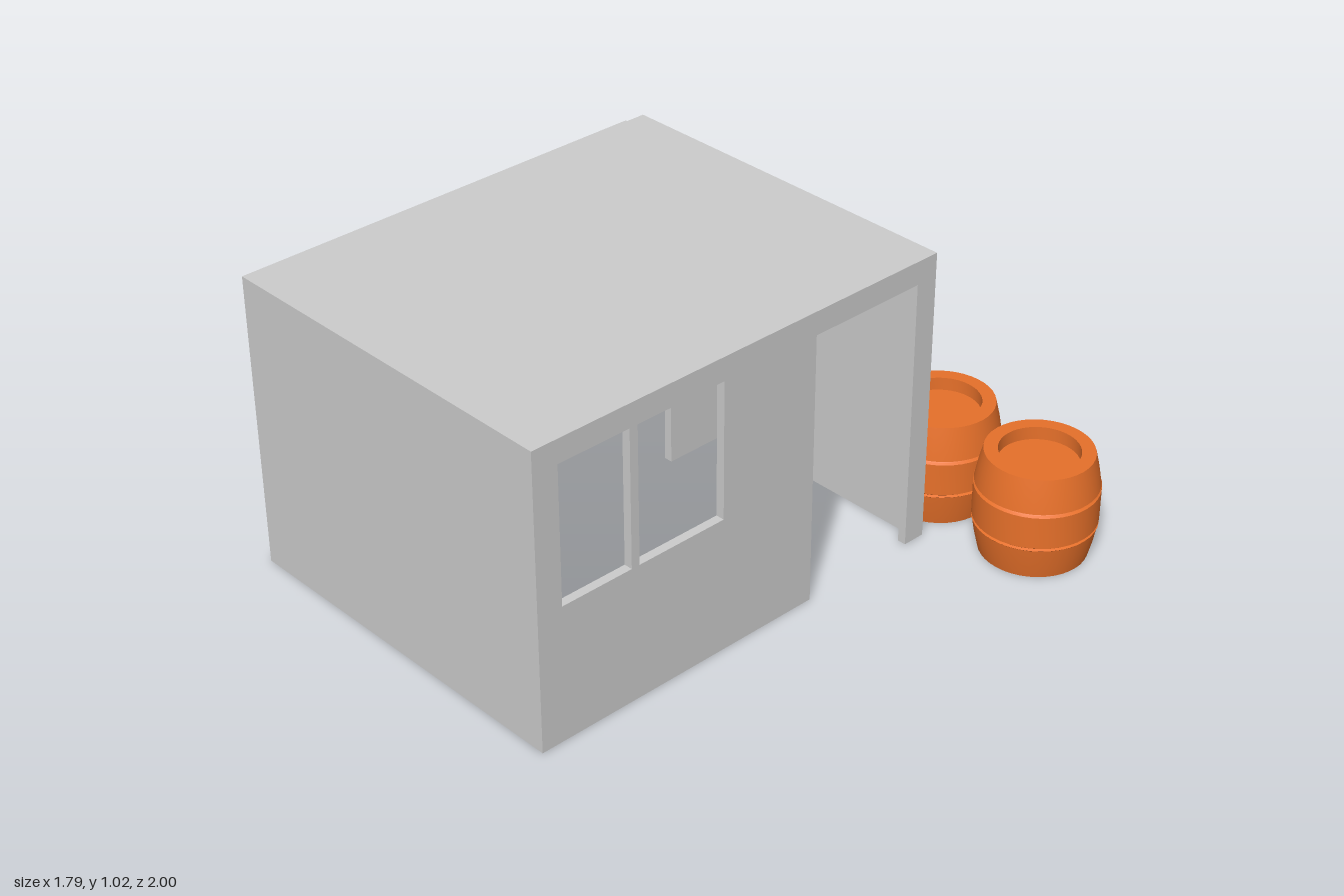
import * as THREE from 'three';
import { toCreasedNormals } from 'three/addons/utils/BufferGeometryUtils.js';

const grey = new THREE.MeshStandardMaterial({ color: 0xcccccc });
const wood = new THREE.MeshStandardMaterial({ color: 0xe6702a });

const T = 0.03; // wall thickness
const X0 = -0.89, X1 = 0.41, Z0 = -0.59, Z1 = 1.0, H = 1.02;
const HEAD = 0.94; // top of doors and windows

// Box given by its two corners
function slab(name, x0, x1, y0, y1, z0, z1) {
  const mesh = new THREE.Mesh(new THREE.BoxGeometry(x1 - x0, y1 - y0, z1 - z0), grey);
  mesh.position.set((x0 + x1) / 2, (y0 + y1) / 2, (z0 + z1) / 2);
  mesh.name = name;
  return mesh;
}

// Wall along z with one doorway [z0, z1] and windows [z0, z1, sill]; outer face at x
function pierced(name, x, za, zb, top, door, windows = []) {
  const shape = new THREE.Shape([
    [za, 0], [door[0], 0], [door[0], HEAD], [door[1], HEAD], [door[1], 0], [zb, 0], [zb, top], [za, top],
  ].map(([z, y]) => new THREE.Vector2(z, y)));
  for (const [a, b, sill] of windows) {
    shape.holes.push(new THREE.Path([[a, sill], [a, HEAD], [b, HEAD], [b, sill]]
      .map(([z, y]) => new THREE.Vector2(z, y))));
  }
  const geometry = new THREE.ExtrudeGeometry(shape, { depth: T, bevelEnabled: false });
  geometry.rotateY(-Math.PI / 2);
  const mesh = new THREE.Mesh(geometry, grey);
  mesh.position.x = x;
  mesh.name = name;
  return mesh;
}

// Bulging barrel with two hoop grooves and recessed ends
function barrel(x, z) {
  const h = 0.36, recess = 0.045;
  const lower = [
    [0, recess], [0.13, recess], [0.13, 0], [0.175, 0], [0.188, 0.055], [0.198, 0.112],
    [0.2, 0.114], [0.192, 0.118], [0.2, 0.124],
  ];
  const upper = lower.map(([r, y]) => [r, h - y]).reverse();
  const profile = [...lower, ...upper].map(([r, y]) => new THREE.Vector2(r, y));
  const geometry = toCreasedNormals(new THREE.LatheGeometry(profile, 40), 0.5);
  const mesh = new THREE.Mesh(geometry, wood);
  mesh.position.set(x, 0, z);
  mesh.name = 'barrel';
  return mesh;
}

export function createModel() {
  const model = new THREE.Group();

  // House shell, open underneath
  const house = new THREE.Group();
  house.name = 'house';
  house.add(
    slab('roof', X0, X1, H - T, H, Z0, Z1),
    slab('frontWall', X0, X1 - T, 0, H - T, Z1 - T, Z1),
    slab('backWall', X0, X1 - T, 0, H - T, Z0, Z0 + T),
    slab('rightWall', X0 - 0.007, X0 + T, 0, H, -0.52, Z1),
    slab('rightWallCorner', X0, X0 + T, 0, H - T, Z0 + T, -0.52),
    pierced('leftWall', X1, Z0, Z1, H - T, [-0.51, -0.08], [[0.29, 0.62, 0.47], [0.65, 0.91, 0.47]]),
  );

  // Inner partition with a doorway, and the shelf on the front wall
  house.add(
    pierced('partition', -0.45, Z0 + T, Z1 - T, H - T, [-0.3, 0.22]),
    slab('shelf', -0.45, 0.1, 0.42, 0.51, 0.75, Z1 - T),
  );
  model.add(house);

  // Pair of barrels behind the house
  for (const x of [0.28, 0.69]) model.add(barrel(x, -0.8));

  return model;
}
